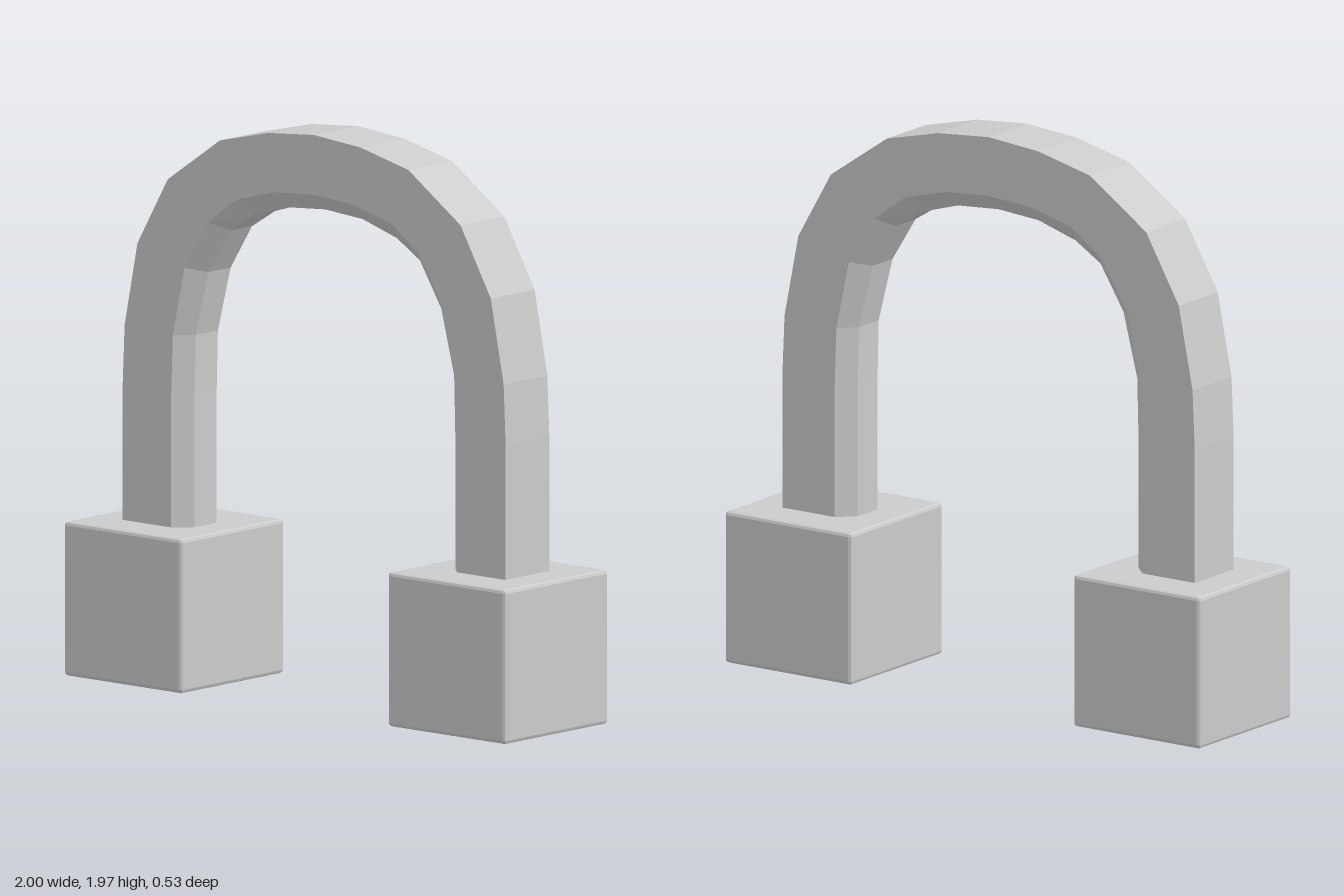
import * as THREE from 'three';
import { RoundedBoxGeometry } from 'three/addons/geometries/RoundedBoxGeometry.js';

const material = new THREE.MeshStandardMaterial({ color: 0xcccccc, flatShading: true });

// Half of the arch, foot to crown: [outer x, y, bevel x, y, inner x, y]
const HALF = [
  [0.867, 0.40, 0.647, 0.40, 0.59, 0.40],
  [0.867, 1.00, 0.647, 1.00, 0.59, 1.00],
  [0.858, 1.21, 0.64, 1.20, 0.585, 1.20],
  [0.80, 1.50, 0.587, 1.44, 0.527, 1.425],
  [0.663, 1.737, 0.48, 1.61, 0.43, 1.58],
  [0.427, 1.90, 0.35, 1.705, 0.325, 1.645],
  [0.21, 1.952, 0.18, 1.75, 0.17, 1.692],
  [0, 1.97, 0, 1.763, 0, 1.705],
];
const HALF_DEPTH = 0.113;
const INNER_HALF_DEPTH = 0.057;

// Six-sided ring: square outer corners, bevelled inner corners
function ring([ox, oy, bx, by, ix, iy], side) {
  const d = HALF_DEPTH, e = INNER_HALF_DEPTH;
  return [
    [ox, oy, d], [ox, oy, -d], [bx, by, -d],
    [ix, iy, -e], [ix, iy, e], [bx, by, d],
  ].map(([x, y, z]) => [x * side, y, z]);
}

function archGeometry() {
  const rings = [
    ...HALF.map((p) => ring(p, 1)),
    ...HALF.slice(0, -1).reverse().map((p) => ring(p, -1)),
  ];
  const n = 6, last = (rings.length - 1) * n, index = [];
  for (let r = 0; r < rings.length - 1; r++) {
    for (let k = 0; k < n; k++) {
      const a = r * n + k, b = r * n + (k + 1) % n;
      index.push(a, b, b + n, a, b + n, a + n);
    }
  }
  // End caps
  for (let k = 1; k < n - 1; k++) {
    index.push(0, k + 1, k, last, last + k, last + k + 1);
  }
  const geometry = new THREE.BufferGeometry();
  geometry.setAttribute('position', new THREE.Float32BufferAttribute(rings.flat(2), 3));
  geometry.setIndex(index);
  geometry.computeVertexNormals();
  return geometry;
}

export function createModel() {
  const model = new THREE.Group();
  model.name = 'archOnBlocks';

  const arch = new THREE.Mesh(archGeometry(), material);
  arch.name = 'arch';
  model.add(arch);

  // Bevelled foot blocks
  const size = 0.534;
  const blockGeometry = new RoundedBoxGeometry(size, size, size, 1, 0.013);
  for (const side of [1, -1]) {
    const block = new THREE.Mesh(blockGeometry, material);
    block.name = side > 0 ? 'leftBlock' : 'rightBlock';
    block.position.set(side * (1 - size / 2), size / 2, 0);
    model.add(block);
  }
  return model;
}
